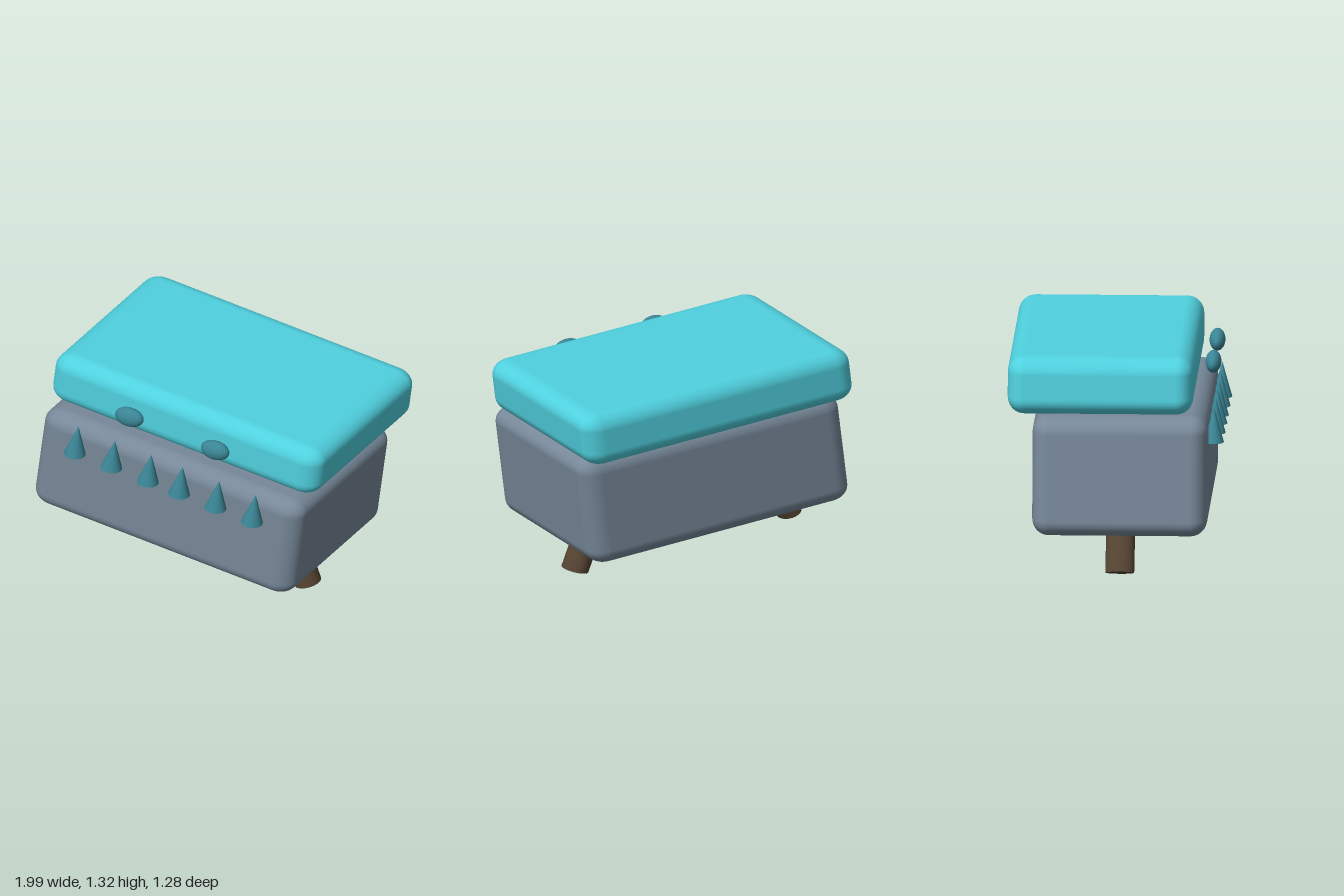
import * as THREE from 'three';
import { RoundedBoxGeometry } from 'three/addons/geometries/RoundedBoxGeometry.js';

const LEAN = 0.13; // sideways lean per unit of height

const material = (color) => new THREE.MeshStandardMaterial({ color });
const slate = material(0x778899);
const turquoise = material(0x4fd0de);
const teal = material(0x3a8595);
const wood = material(0x554332);

// Skews a geometry: x grows with y by "lean", y grows with x by "tilt"
function skew(geometry, lean, tilt = 0) {
  return geometry.applyMatrix4(new THREE.Matrix4().set(
    1, lean, 0, 0,
    tilt, 1, 0, 0,
    0, 0, 1, 0,
    0, 0, 0, 1));
}

export function createModel() {
  const model = new THREE.Group();
  model.name = 'chestCreature';

  function add(name, geometry, mat, x, y, z) {
    const mesh = new THREE.Mesh(geometry, mat);
    mesh.name = name;
    mesh.position.set(x, y, z);
    model.add(mesh);
  }

  // Rounded, leaning box whose corners are a little longer along x
  function leaningBox(w, h, d, radius) {
    const stretch = 1.25;
    const box = new RoundedBoxGeometry(w / stretch, h, d, 6, radius);
    return skew(box.scale(stretch, 1, 1), LEAN);
  }

  add('body', leaningBox(1.845, 0.712, 1.04, 0.1), slate, -0.043, 0.609, 0.03);
  add('lid', leaningBox(1.905, 0.343, 1.102, 0.1), turquoise, 0.03, 1.149, -0.087);

  // Eyes floating in front of the lid
  for (const [name, x] of [['rightEye', -0.275], ['leftEye', 0.335]]) {
    const eye = new THREE.SphereGeometry(1, 32, 20).scale(0.097, 0.063, 0.047);
    add(name, skew(eye, LEAN, 0.04), teal, x, 1.18, 0.563);
  }

  // Row of pointed teeth along the front rim
  [-0.652, -0.392, -0.132, 0.09, 0.35, 0.61].forEach((x, i) => {
    const tooth = new THREE.ConeGeometry(0.06, 0.207, 32).scale(1.12, 1, 1);
    add('tooth' + (i + 1), skew(tooth, LEAN), teal, x + 0.013, 0.877, 0.58);
  });

  // Splayed legs that run up through the body to just under the lid
  const legs = [
    ['rightLeg', -0.875, -0.27, -0.26],
    ['leftLeg', 0.642, 0.25, 0.24],
  ];
  for (const [name, footX, topX, tilt] of legs) {
    const height = 0.935;
    const leg = new THREE.CylinderGeometry(0.086, 0.086, height, 32);
    skew(leg, 0, tilt);
    skew(leg, (topX - footX) / height);
    // Keep the foot's width after the second skew
    const shrink = 1 / (1 + tilt * (topX - footX) / height);
    const p = leg.attributes.position;
    for (let i = 0; i < p.count; i++) {
      const axisX = p.getY(i) * (topX - footX) / height;
      p.setX(i, axisX + (p.getX(i) - axisX));
    }
    add(name, leg, wood, (footX + topX) / 2, 0.49, 0.03);
  }

  return model;
}
